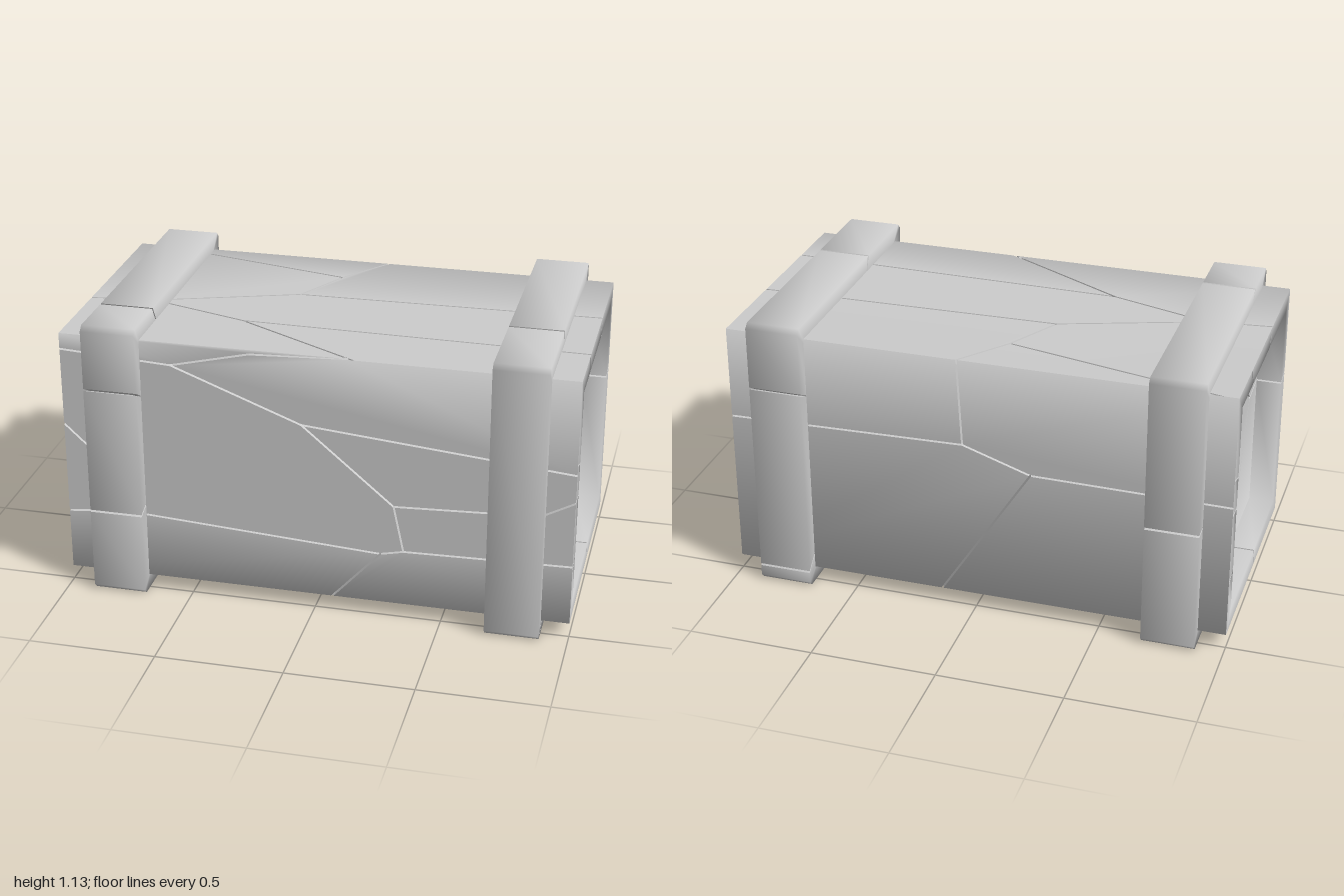
import * as THREE from 'three';
import { mergeGeometries } from 'three/addons/utils/BufferGeometryUtils.js';

const GAP = 0.004, DEPTH = 0.02, H = 0.505;
const material = new THREE.MeshStandardMaterial({ color: 0xcccccc });
const V = (x, y, z) => new THREE.Vector3(x, y, z);

function mesh(geometry, name) {
  const m = new THREE.Mesh(geometry, material);
  m.name = name;
  return m;
}

// Flat face split into panels by V-shaped cracks.
// The first four points are the corners; bend tilts the normals at the borders.
function crackedFace({ u, v, d, half, bend, points, panels }) {
  const n = u.clone().cross(v);
  const pts = [[-half[0], -half[1]], [half[0], -half[1]], [half[0], half[1]], [-half[0], half[1]], ...points];
  const onBorder = (p, k) => Math.abs(Math.abs(p[k]) - half[k]) < 1e-6;
  const shared = (a, b) => [0, 1].some(k => onBorder(a, k) && Math.abs(a[k] - b[k]) < 1e-6);
  const at = (p, depth) => n.clone().multiplyScalar(d - depth).addScaledVector(u, p[0]).addScaledVector(v, p[1]);
  const normalAt = p => {
    const r = n.clone();
    [u, v].forEach((axis, k) => { if (onBorder(p, k)) r.addScaledVector(axis, Math.sign(p[k]) * bend[k]); });
    return r.normalize();
  };
  const pos = [], nor = [];
  const tri = (ps, ns) => ps.forEach((p, i) => { pos.push(...p.toArray()); nor.push(...ns[i].toArray()); });

  for (const ids of panels) {
    const poly = ids.map(i => pts[i]);
    const count = poly.length;
    const edges = poly.map((p, i) => {
      const q = poly[(i + 1) % count], dx = q[0] - p[0], dy = q[1] - p[1], l = Math.hypot(dx, dy);
      return { x: -dy / l, y: dx / l, g: shared(p, q) ? 0 : GAP };
    });
    // pull each corner in from its cracked edges
    const inset = poly.map((p, i) => {
      const a = edges[(i + count - 1) % count], b = edges[i];
      const det = a.x * b.y - a.y * b.x;
      if (Math.abs(det) < 0.1) return [p[0] + a.x * a.g, p[1] + a.y * a.g];
      return [p[0] + (a.g * b.y - b.g * a.y) / det, p[1] + (a.x * b.g - b.x * a.g) / det];
    });
    const contour = inset.map(p => new THREE.Vector2(p[0], p[1]));
    for (const t of THREE.ShapeUtils.triangulateShape(contour, [])) {
      tri(t.map(i => at(inset[i], 0)), t.map(i => normalAt(poly[i])));
    }
    // crack walls
    edges.forEach((e, i) => {
      if (!e.g) return;
      const j = (i + 1) % count;
      const a = at(inset[i], 0), b = at(poly[i], DEPTH), c = at(poly[j], DEPTH), f = at(inset[j], 0);
      const w = b.clone().sub(a).cross(c.clone().sub(b)).normalize();
      tri([a, b, c], [w, w, w]);
      tri([a, c, f], [w, w, w]);
    });
  }
  const g = new THREE.BufferGeometry();
  g.setAttribute('position', new THREE.Float32BufferAttribute(pos, 3));
  g.setAttribute('normal', new THREE.Float32BufferAttribute(nor, 3));
  return g;
}

// Square ring around the x axis, swept from a profile of [x, half size], with V-shaped cracks.
function crackedRing(profile, sunk, chamfer, cracks) {
  const c = 1 - chamfer, g = GAP * 2;
  const path = [];
  const corners = chamfer ? [[1, -c], [1, c], [c, 1], [-c, 1], [-1, c], [-1, -c], [-c, -1], [c, -1]]
    : [[1, -1], [1, 1], [-1, 1], [-1, -1]];
  corners.forEach(p => path.push({ p, kind: 0 }));
  for (const [x, y] of cracks) {
    const t = Math.abs(x) === 1 ? [0, x] : [-y, 0];
    [-1, 0, 1].forEach(k => path.push({ p: [x + t[0] * g * k, y + t[1] * g * k], kind: k === 0 ? 2 : 1 }));
  }
  path.sort((a, b) => Math.atan2(a.p[1], a.p[0]) - Math.atan2(b.p[1], b.p[0]));
  const first = path.findIndex(s => s.kind === 2);
  const loop = [...path.slice(first), ...path.slice(0, first), path[first]];

  const strip = stations => {
    const pos = [], index = [], m = profile.length;
    stations.forEach(({ p, kind }) => (kind === 2 ? sunk : profile).forEach(([x, h]) => pos.push(x, p[1] * h, -p[0] * h)));
    for (let i = 0; i < stations.length - 1; i++) for (let j = 0; j < m - 1; j++) {
      const a = i * m + j, b = a + m;
      index.push(a, b, b + 1, a, b + 1, a + 1);
    }
    const geo = new THREE.BufferGeometry();
    geo.setAttribute('position', new THREE.Float32BufferAttribute(pos, 3));
    geo.setIndex(index);
    geo.computeVertexNormals();
    return geo;
  };
  // break the sweep at every crack point so the crack walls stay crisp
  const parts = [];
  let run = [loop[0]];
  for (const s of loop.slice(1)) {
    run.push(s);
    if (s.kind) { parts.push(strip(run)); run = [s]; }
  }
  return mergeGeometries(parts);
}

const X = V(1, 0, 0), Y = V(0, 1, 0), Z = V(0, 0, 1);
const NX = V(-1, 0, 0), NZ = V(0, 0, -1);

// Crack layouts of the long sides
const sides = {
  front: { u: X, v: Y,
    points: [[-1, .44], [-.56, .415], [-.25, .49], [.13, .505], [-.05, .22], [1, .125], [.31, -.085], [.87, -.06], [1, .01],
      [.35, -.275], [1, -.26], [.26, -.295], [.07, -.505], [-.78, -.23], [-1, -.255], [-.8, -.06], [-1, .125]],
    panels: [[3, 4, 5, 6, 7], [5, 8, 9, 2, 7, 6], [8, 10, 11, 12, 9], [10, 13, 14, 12, 11], [13, 15, 16, 1, 14],
      [0, 16, 15, 17, 18], [20, 19, 17, 15, 13, 10, 8, 5, 4], [18, 17, 19, 20]] },
  top: { u: X, v: NZ,
    points: [[-1, -.13], [-.75, -.1], [-.2, .09], [1, .115], [-.08, .31], [.07, .505], [-.93, .505], [-.35, -.225], [1, -.25], [.15, -.505]],
    panels: [[3, 4, 5, 6, 8, 10], [8, 9, 10], [6, 7, 2, 9, 8], [5, 11, 12, 7, 6], [11, 13, 1, 12], [0, 13, 11, 5, 4]] },
  back: { u: NX, v: Y,
    points: [[-1, .13], [-.05, .15], [.22, .06], [1, .05], [-.14, -.505], [-.07, .505]],
    panels: [[3, 4, 5, 9], [5, 6, 7, 2, 9], [6, 8, 1, 7], [0, 8, 6, 5, 4]] },
  bottom: { u: X, v: Z,
    points: [[1, -.08], [.7, -.12], [.09, -.22], [.14, -.505], [-1, -.22], [.07, .505]],
    panels: [[7, 1, 4, 5, 6], [0, 7, 6, 8], [8, 6, 5, 9, 3], [5, 4, 2, 9]] },
};

// Recessed end floor
const endFloor = { u: NZ, v: Y, d: 0.9, half: [.435, .435], bend: [-.6, -.6],
  points: [[-.285, .355], [.11, .27], [.29, .105], [.435, .12], [-.3, -.05], [-.435, -.055], [-.435, -.28], [-.15, -.435],
    [.05, -.435], [-.26, .435], [-.435, .2], [.11, .435]],
  panels: [[3, 14, 4, 13], [4, 5, 15, 13], [5, 6, 7, 2, 15], [6, 12, 1, 7], [8, 10, 11, 12, 6, 5], [14, 9, 8, 5, 4], [9, 10, 8], [0, 11, 10]] };

const rimCracks = [[-1, .33], [-1, .03], [-1, -.56], [1, .27], [.23, 1], [-.54, 1], [.05, -1]];
const bandCracks = {
  right: [[-.34, 1], [1, .52], [1, -.88], [-.93, -1]],
  left: [[1, .54], [1, -.38], [.58, 1], [-1, -.1], [0, -1]],
};

export function createModel() {
  const model = new THREE.Group();
  model.name = 'crackedStoneBlock';
  const block = new THREE.Group();
  block.name = 'block';
  block.position.y = 0.565;
  model.add(block);

  // Long sides of the block
  for (const [name, side] of Object.entries(sides)) {
    block.add(mesh(crackedFace({ d: H, half: [1, H], bend: [0, .7], ...side }), name + 'Side'));
  }

  // Both ends: recessed floor, rim and raised band
  for (const name of ['right', 'left']) {
    const end = new THREE.Group();
    end.name = name + 'End';
    if (name === 'left') end.rotation.y = Math.PI;
    end.add(mesh(crackedFace(endFloor), 'recessFloor'));
    end.add(mesh(crackedRing([[1, H], [1, .435], [.9, .435]], [[.98, .5], [.98, .455], [.9, .455]], 0, rimCracks), 'rim'));
    const band = mesh(crackedRing(
      [[-.105, .49], [-.105, .565], [.105, .565], [.105, .49]],
      [[-.085, .49], [-.085, .545], [.085, .545], [.085, .49]], 0.035, bandCracks[name]), 'band');
    band.position.x = 0.785;
    end.add(band);
    block.add(end);
  }
  return model;
}
